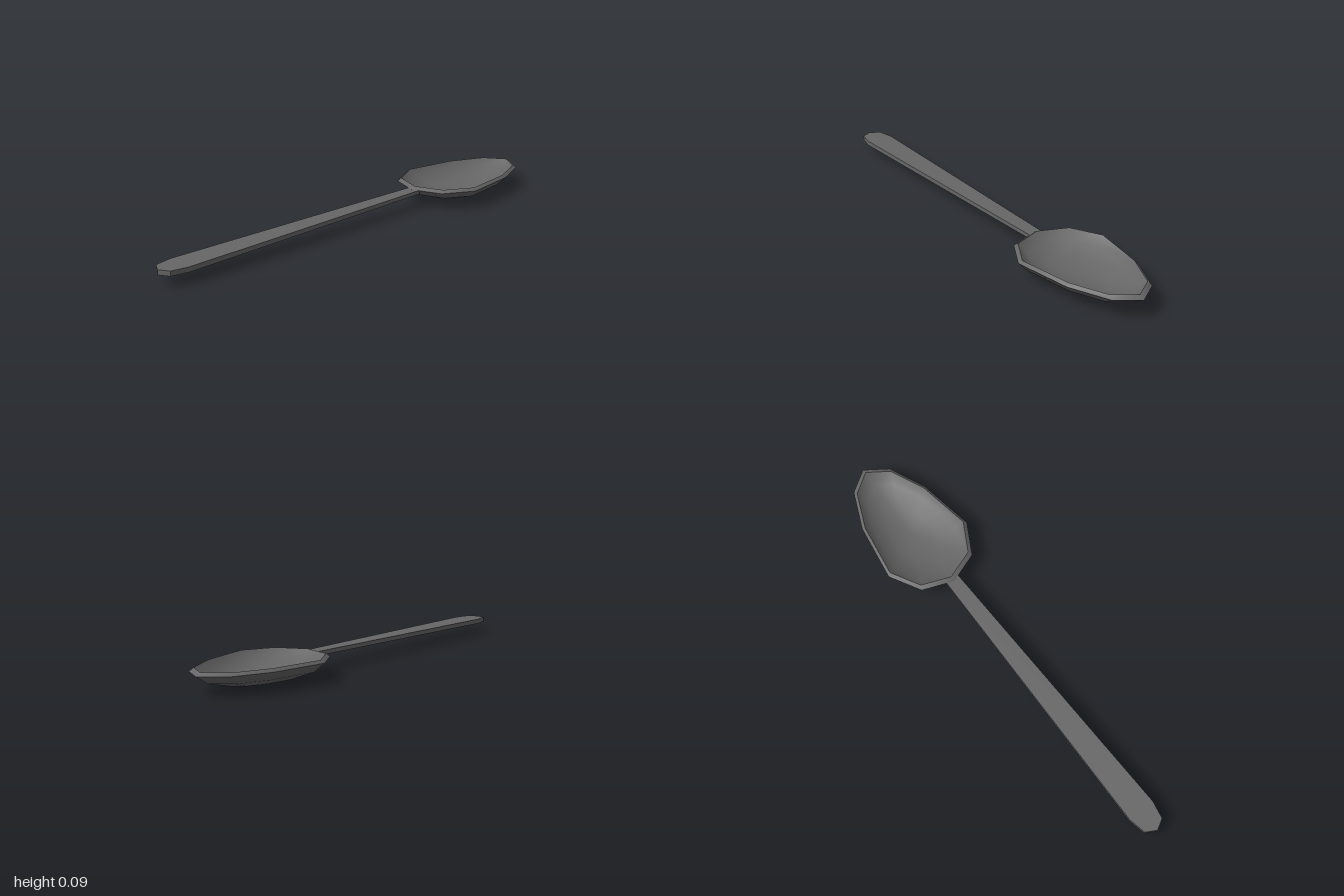
import * as THREE from 'three';
import { toCreasedNormals } from 'three/addons/utils/BufferGeometryUtils.js';

const steel = new THREE.MeshStandardMaterial({ color: 0x666666 });
steel.name = 'dark grey metal';

// Bowl: one plan outline scaled about its centre, following a cross-section
function makeBowl() {
  const centreZ = -0.64;
  const half = [[0, -1], [0.095, -0.935], [0.167, -0.77], [0.207, -0.52], [0.133, -0.385], [0, -0.335]];
  const mirrored = half.slice(1, -1).reverse().map(([x, z]) => [-x, z]);
  const outline = [...half, ...mirrored];

  // [scale, height]: underside centre, up to the rim, then down inside
  const profile = [
    [0, 0], [0.48, 0.013], [0.83, 0.042], [1, 0.077],
    [0.935, 0.089],
    [0.78, 0.053], [0.46, 0.026], [0, 0.015],
  ];
  const at = ([s, y], i) => {
    const [x, z] = outline[i % outline.length];
    return [x * s, y, centreZ + (z - centreZ) * s];
  };

  const positions = [];
  for (let k = 0; k < profile.length - 1; k++) {
    const p = profile[k], q = profile[k + 1];
    for (let i = 0; i < outline.length; i++) {
      if (p[0] > 0) positions.push(...at(p, i), ...at(q, i), ...at(p, i + 1));
      if (q[0] > 0) positions.push(...at(p, i + 1), ...at(q, i), ...at(q, i + 1));
    }
  }
  const geometry = new THREE.BufferGeometry();
  geometry.setAttribute('position', new THREE.Float32BufferAttribute(positions, 3));
  return toCreasedNormals(geometry, 0.95);
}

// Handle: flat tapered plate, sloping gently down to its faceted tip
function makeHandle() {
  const side = [[0.03, -0.355], [0.06, 0.9], [0.045, 0.975]];
  const plan = [...side, [0, 1], ...side.slice().reverse().map(([x, z]) => [-x, z])];
  const shape = new THREE.Shape(plan.map(([x, z]) => new THREE.Vector2(x, -z)));
  const geometry = new THREE.ExtrudeGeometry(shape, { depth: 1, bevelEnabled: false });
  geometry.rotateX(-Math.PI / 2);

  const pos = geometry.attributes.position;
  for (let i = 0; i < pos.count; i++) {
    const t = (pos.getZ(i) + 0.355) / 1.355;
    const bottom = THREE.MathUtils.lerp(0.06, 0.042, t);
    const top = THREE.MathUtils.lerp(0.077, 0.063, t);
    pos.setY(i, pos.getY(i) > 0.5 ? top : bottom);
  }
  geometry.computeVertexNormals();
  return geometry;
}

export function createModel() {
  const model = new THREE.Group();
  model.name = 'spoon';
  const parts = { bowl: makeBowl(), handle: makeHandle() };
  for (const [name, geometry] of Object.entries(parts)) {
    const mesh = new THREE.Mesh(geometry, steel);
    mesh.name = name;
    model.add(mesh);
  }
  return model;
}
